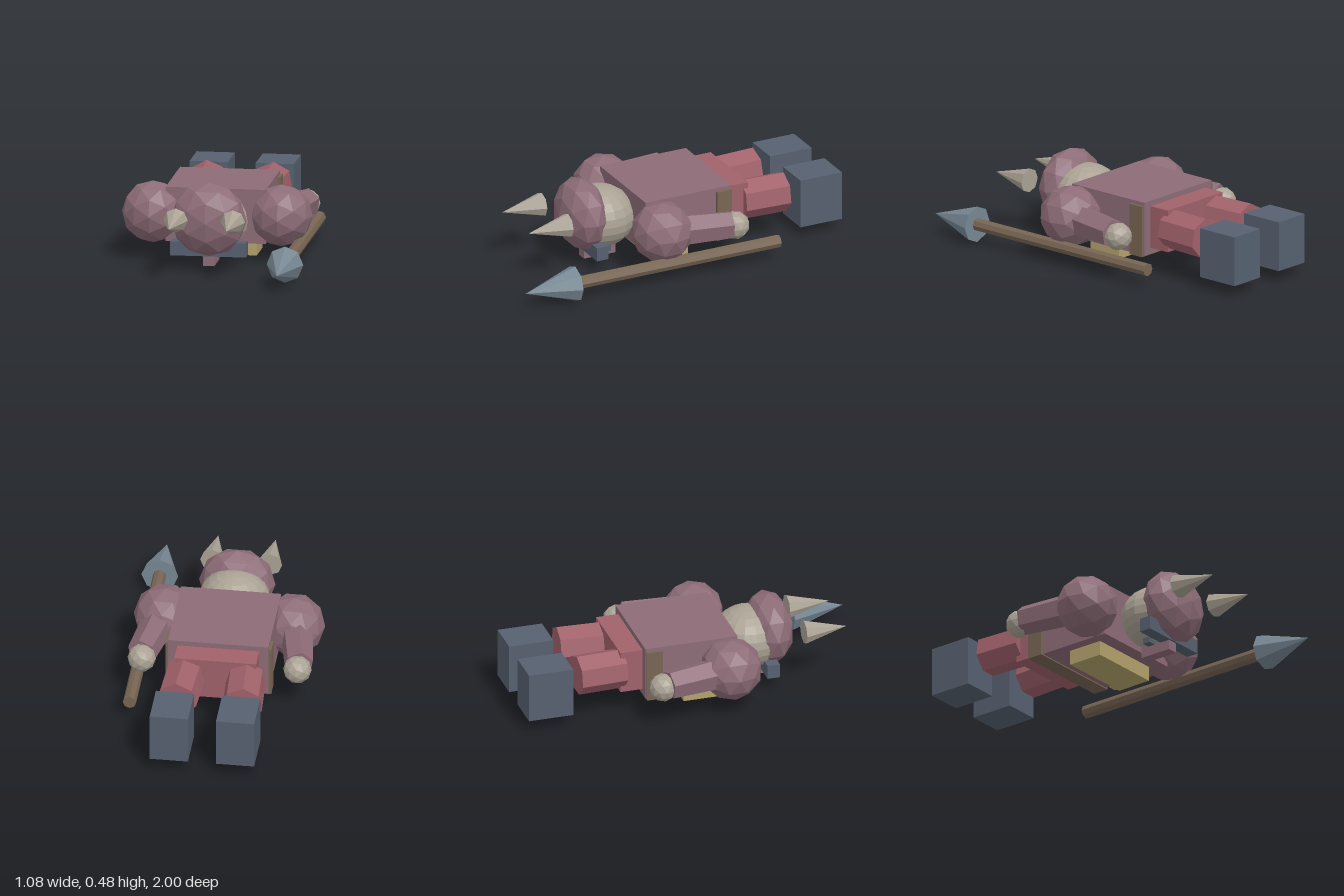
import * as THREE from 'three';

const mat = (name, color) => {
  const m = new THREE.MeshStandardMaterial({ color, flatShading: true });
  m.name = name;
  return m;
};

export function createModel() {
  const root = new THREE.Group();
  root.name = 'lyingWarrior';
  const mauve = mat('mauve', 0x8d6c77);
  const red = mat('dullRed', 0xa0616a);
  const slate = mat('slate', 0x566070);
  const gold = mat('gold', 0xb3a26c);
  const bone = mat('bone', 0xaaa294);
  const steel = mat('steel', 0x778894);
  const brown = mat('brown', 0x776553);

  const add = (name, geometry, material, x = 0, y = 0, z = 0) => {
    const mesh = new THREE.Mesh(geometry, material);
    mesh.name = name;
    mesh.position.set(x, y, z);
    root.add(mesh);
    return mesh;
  };
  // box given by its limits on each axis
  const box = (name, material, [x0, x1], [y0, y1], [z0, z1]) =>
    add(name, new THREE.BoxGeometry(x1 - x0, y1 - y0, z1 - z0), material,
      (x0 + x1) / 2, (y0 + y1) / 2, (z0 + z1) / 2);
  // faceted rod between two points, radius r0 at the start and r1 at the end
  const rod = (name, material, from, to, r0, r1, sides) => {
    const a = new THREE.Vector3(...from), b = new THREE.Vector3(...to);
    const dir = b.clone().sub(a);
    const mesh = add(name, new THREE.CylinderGeometry(r1, r0, dir.length(), sides), material);
    mesh.position.copy(a).add(b).multiplyScalar(0.5);
    mesh.quaternion.setFromUnitVectors(new THREE.Vector3(0, 1, 0), dir.normalize());
    return mesh;
  };
  const cone = (name, material, x, y, z0, z1, r) => {
    const g = new THREE.ConeGeometry(r, z1 - z0, 8).rotateX(Math.PI / 2);
    return add(name, g, material, x, y, (z0 + z1) / 2);
  };
  const ball = (name, material, r, x, y, z, detail = 1) =>
    add(name, new THREE.IcosahedronGeometry(r, detail), material, x, y, z);

  const cx = -0.022; // the body's own centre line

  // torso, hips, belt and chest plate
  box('torso', mauve, [-0.295, 0.25], [0.102, 0.4], [-0.34, 0.18]);
  box('hips', red, [-0.245, 0.2], [0.135, 0.37], [-0.465, -0.3]);
  box('belt', brown, [-0.31, 0.265], [0.095, 0.38], [-0.335, -0.245]);
  box('chestPlate', gold, [-0.235, 0.19], [0.02, 0.11], [-0.105, 0.1]);

  // head, helmet and face
  const head = add('head', new THREE.SphereGeometry(1, 16, 12), bone, cx, 0.25, 0.32);
  head.scale.set(0.195, 0.17, 0.19);
  const helmet = ball('helmet', mauve, 1, cx, 0.283, 0.435);
  helmet.scale.set(0.208, 0.202, 0.132);
  box('visor', slate, [-0.23, 0.182], [0.08, 0.157], [0.37, 0.44]);
  box('noseGuard', mauve, [-0.053, 0.009], [0.025, 0.1], [0.24, 0.43]);

  for (const s of [-1, 1]) {
    const side = s < 0 ? 'right' : 'left';
    const X = (d) => cx + s * d;
    const ex = X(0.07);
    box(side + 'Eye', slate, [ex - 0.023, ex + 0.023], [0.07, 0.13], [0.3, 0.345]);
    cone(side + 'Horn', bone, X(0.156), 0.305, 0.59, 0.83, 0.067);

    // arms
    ball(side + 'Shoulder', mauve, 0.17, X(0.35), 0.25, 0.12);
    rod(side + 'Arm', mauve, [X(0.37), 0.25, 0.08], [X(0.428), 0.245, -0.255], 0.092, 0.08, 6);
    ball(side + 'Hand', bone, 0.077, X(0.423), 0.235, -0.285);

    // legs
    rod(side + 'Leg', red, [X(0.165), 0.255, -0.44], [X(0.178), 0.255, -0.7], 0.11, 0.11, 7);
    const bx = X(0.18);
    box(side + 'Boot', slate, [bx - 0.104, bx + 0.104], [0.07, 0.345], [-1, -0.75]);
  }

  // spear
  rod('spearShaft', brown, [0.435, 0.105, -0.53], [0.435, 0.105, 0.71], 0.036, 0.036, 8);
  cone('spearTip', steel, 0.435, 0.105, 0.7, 1, 0.1);

  return root;
}
